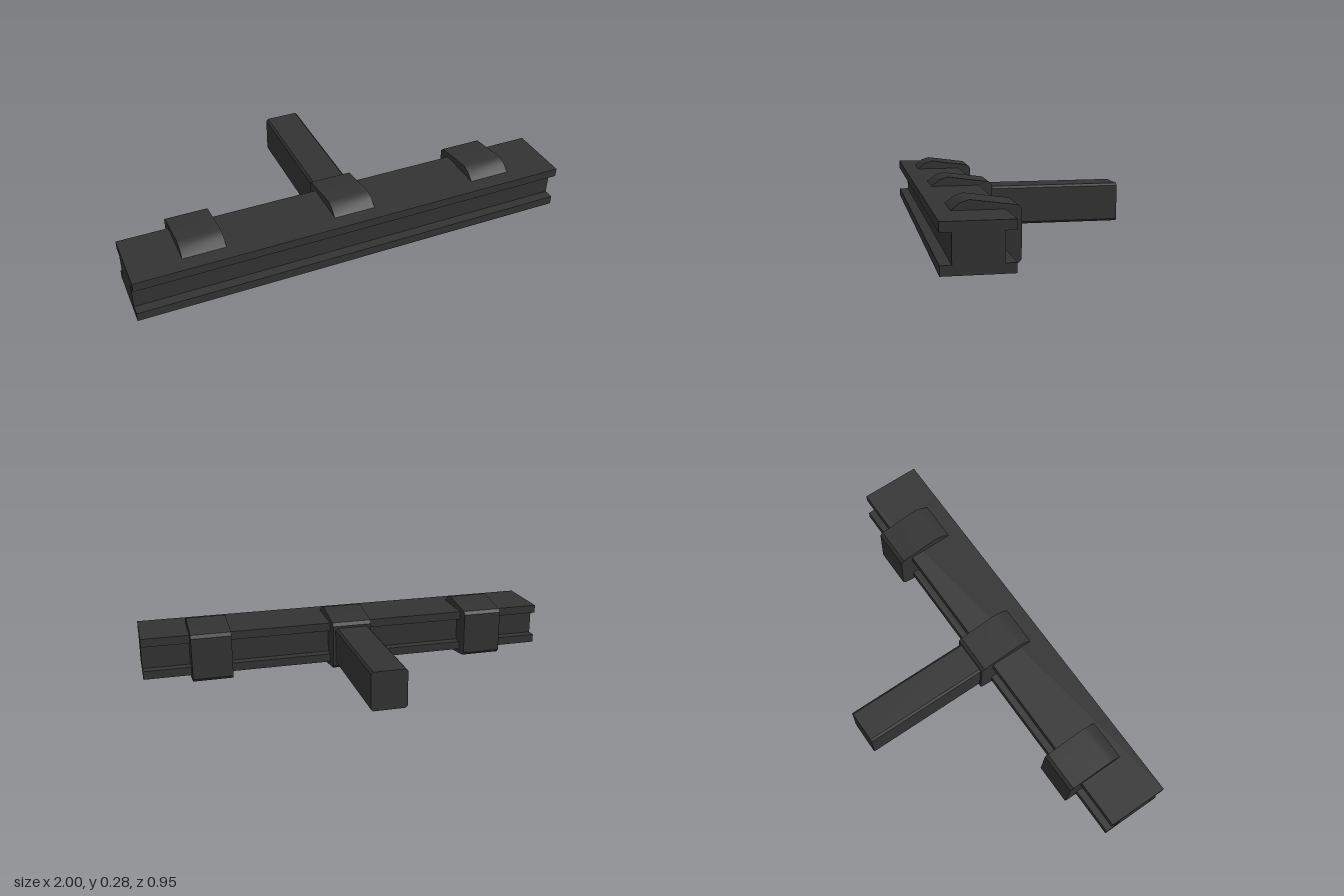
import * as THREE from 'three';
import { toCreasedNormals } from 'three/addons/utils/BufferGeometryUtils.js';

const MID = 0.144; // height of the horizontal symmetry plane
const material = new THREE.MeshStandardMaterial({ color: 0x333333 });

// Closes a half outline [u, offset above MID] by mirroring it below MID.
function mirroredShape(half) {
  const upper = half.map(([u, v]) => new THREE.Vector2(u, MID + v));
  const lower = half.map(([u, v]) => new THREE.Vector2(u, MID - v)).reverse();
  return new THREE.Shape([...upper, ...lower]);
}

// Extrudes a (z, y) outline along x, centred on x = 0.
function extrudeAlongX(half, width) {
  const geometry = new THREE.ExtrudeGeometry(mirroredShape(half), { depth: width, bevelEnabled: false });
  geometry.translate(0, 0, -width / 2);
  geometry.rotateY(-Math.PI / 2);
  return toCreasedNormals(geometry, 0.55);
}

function part(name, geometry) {
  const mesh = new THREE.Mesh(geometry, material);
  mesh.name = name;
  return mesh;
}

export function createModel() {
  const model = new THREE.Group();
  model.name = 'clampedRail';

  // Long I-shaped beam with a groove along its front and back
  const beam = [[0.43, 0.06], [0.475, 0.06], [0.475, 0.1], [0.19, 0.1], [0.19, 0.06], [0.235, 0.06]];
  model.add(part('beam', extrudeAlongX(beam, 2)));

  // Three clamps wrapping the beam from behind
  const clamp = [[0.405, 0.1], [0.37, 0.129], [0.332, 0.141], [0.142, 0.115], [0.128, 0.1]];
  const clampGeometry = extrudeAlongX(clamp, 0.19);
  [['rightClamp', -0.68], ['middleClamp', 0], ['leftClamp', 0.68]].forEach(([name, x]) => {
    const mesh = part(name, clampGeometry);
    mesh.position.x = x;
    model.add(mesh);
  });

  // Rear arm with narrow chamfered edges
  const arm = [[-0.083, 0.08], [-0.073, 0.09], [0.073, 0.09], [0.083, 0.08]];
  const armGeometry = new THREE.ExtrudeGeometry(mirroredShape(arm), { depth: 0.625, bevelEnabled: false });
  armGeometry.translate(0, 0, -0.475);
  model.add(part('rearArm', armGeometry));

  return model;
}
